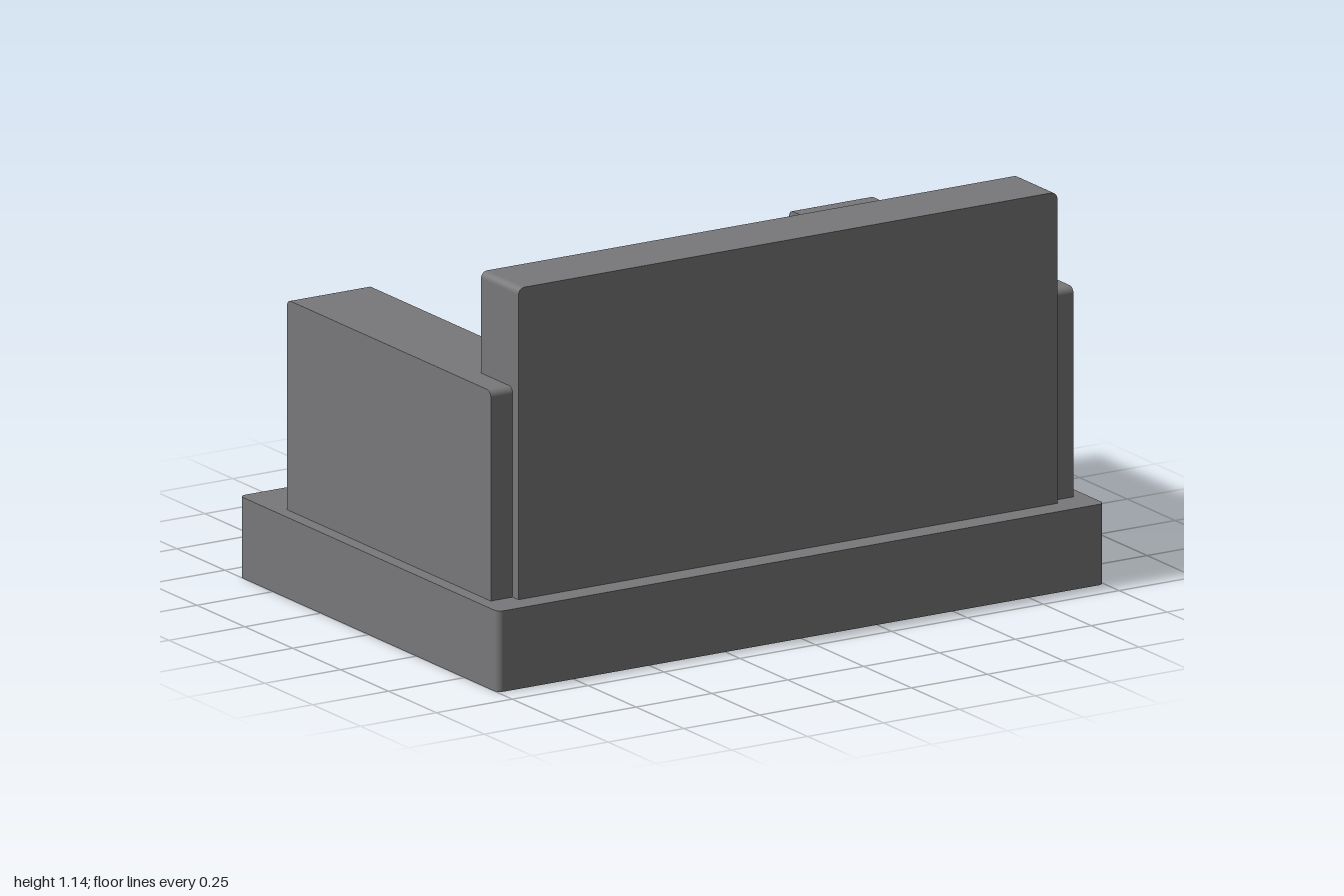
import * as THREE from 'three';

const mat = (name, color) => {
  const m = new THREE.MeshStandardMaterial({ color });
  m.name = name;
  return m;
};

// Block extruded from a rounded rectangle (w x h), centred on the origin
function roundedBlock(w, h, depth, r) {
  const s = new THREE.Shape();
  const x = w / 2, y = h / 2;
  s.absarc(x - r, y - r, r, 0, Math.PI / 2);
  s.absarc(-x + r, y - r, r, Math.PI / 2, Math.PI);
  s.absarc(-x + r, -y + r, r, Math.PI, Math.PI * 1.5);
  s.absarc(x - r, -y + r, r, Math.PI * 1.5, Math.PI * 2);
  s.closePath();
  return new THREE.ExtrudeGeometry(s, { depth, bevelEnabled: false, curveSegments: 4 })
    .translate(0, 0, -depth / 2);
}

// Faceted prism with a slight taper and a pointed tip, standing on y = 0
function crystalGeometry(r, height, tip, sides) {
  const profile = [[0, 0], [r, 0], [r * 0.82, height - tip], [0, height]]
    .map(([x, y]) => new THREE.Vector2(x, y));
  const g = new THREE.LatheGeometry(profile, sides).toNonIndexed();
  g.computeVertexNormals();
  return g;
}

export function createModel() {
  const model = new THREE.Group();
  model.name = 'crystalStand';

  const stone = mat('stoneGrey', 0x78787a);
  const gems = {
    red: mat('red', 0xd2604e),
    yellow: mat('yellow', 0xc8b850),
    green: mat('green', 0x62bd66),
    cyan: mat('cyan', 0x44a5aa),
    blue: mat('blue', 0x5868b2),
    violet: mat('violet', 0xa855b8),
  };
  for (const m of Object.values(gems)) m.flatShading = true;

  const add = (name, geometry, material, x, y, z, parent = model) => {
    const mesh = new THREE.Mesh(geometry, material);
    mesh.name = name;
    mesh.position.set(x, y, z);
    parent.add(mesh);
    return mesh;
  };

  // Plinth, rounded in plan
  add('base', roundedBlock(2, 1.35, 0.235, 0.02).rotateX(-Math.PI / 2), stone, 0, 0.1175, 0);

  // Raised floor between the arms
  add('floor', new THREE.BoxGeometry(1.42, 0.11, 0.86), stone, 0, 0.27, 0.065);

  // Tall wall, rounded in elevation
  add('tallWall', roundedBlock(1.776, 0.94, 0.195, 0.02), stone, 0, 0.67, 0.5075);

  // Side arms
  for (const side of [1, -1]) {
    add(side > 0 ? 'leftArm' : 'rightArm',
      roundedBlock(1.065, 0.645, 0.265, 0.02).rotateY(Math.PI / 2),
      stone, side * 0.8275, 0.5225, 0.0425);
  }

  // Rail floating across the open side
  add('rail', new THREE.BoxGeometry(1.67, 0.08, 0.08), stone, 0, 0.385, -0.545);

  // Row of tall crystals half sunk in the wall: colour, x, height, lean
  const row = new THREE.Group();
  row.name = 'tallCrystals';
  model.add(row);
  [
    ['red', -0.64, 0.42, 0.05],
    ['yellow', -0.425, 0.53, 0],
    ['yellow', -0.22, 0.54, 0.02],
    ['green', -0.005, 0.48, 0],
    ['cyan', 0.2, 0.49, 0.03],
    ['blue', 0.435, 0.53, 0.04],
    ['violet', 0.64, 0.43, 0],
  ].forEach(([colour, x, height, lean], i) => {
    const c = add(colour + 'TallCrystal', crystalGeometry(0.055, height, 0.07, 6),
      gems[colour], x, 0.32, 0.41, row);
    c.rotation.set(0, i * 0.7, lean);
  });

  // Ring of small crystals on the floor: colour, x, z
  const ring = new THREE.Group();
  ring.name = 'smallCrystals';
  model.add(ring);
  [
    ['red', -0.09, -0.13],
    ['yellow', 0.265, -0.07],
    ['yellow', 0.42, 0.16],
    ['green', 0.26, 0.385],
    ['cyan', -0.1, 0.43],
    ['blue', -0.385, 0.27],
    ['violet', -0.38, 0.02],
  ].forEach(([colour, x, z], i) => {
    const c = add(colour + 'SmallCrystal', crystalGeometry(0.04, 0.13, 0.045, 5),
      gems[colour], x, 0.322, z, ring);
    c.rotation.y = i * 0.9;
  });

  return model;
}
